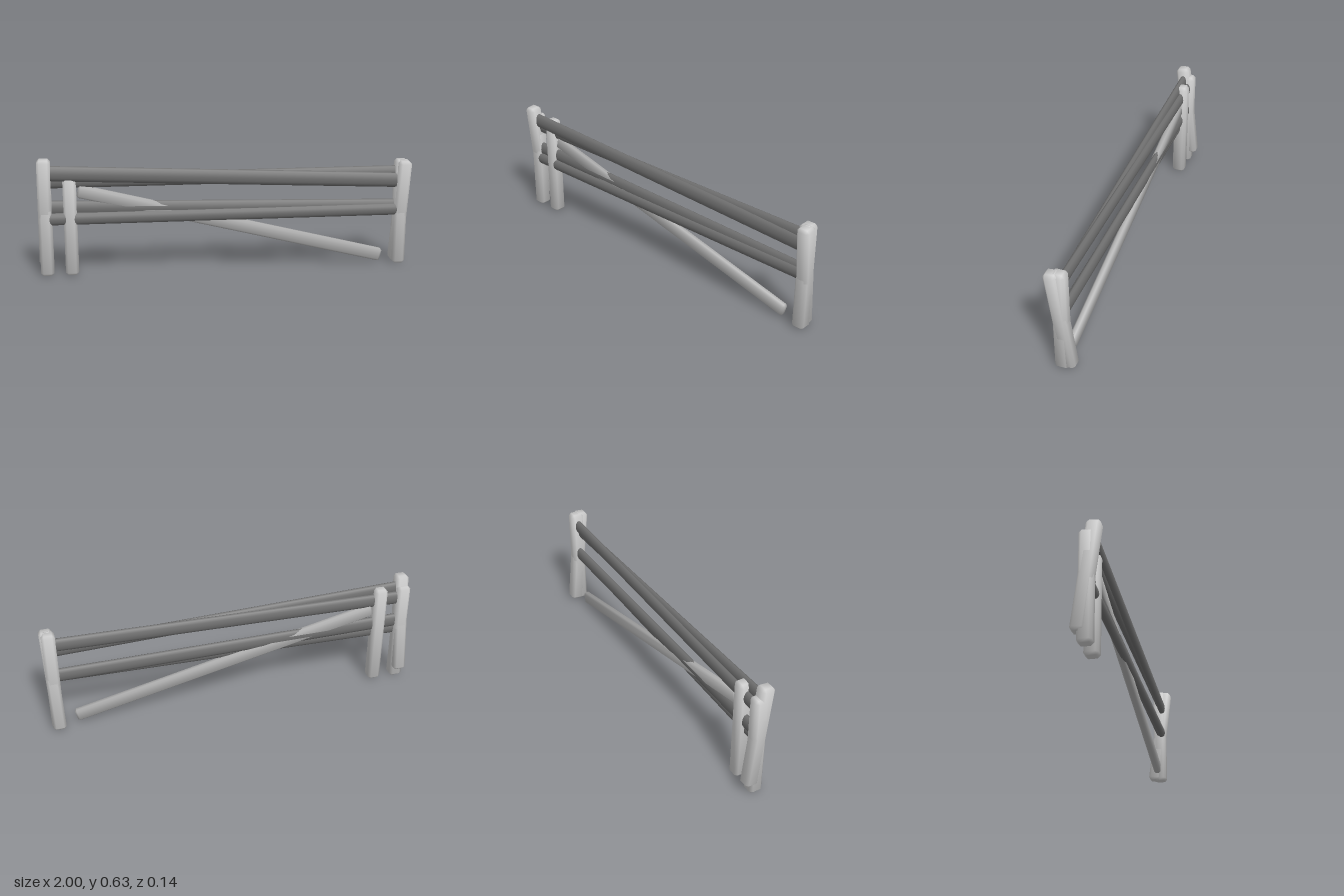
import * as THREE from 'three';
import { ConvexGeometry } from 'three/addons/geometries/ConvexGeometry.js';

const postMaterial = new THREE.MeshStandardMaterial({ color: 0xcccccc });
const braceMaterial = new THREE.MeshStandardMaterial({ color: 0xb0b0b0 });
const railMaterial = new THREE.MeshStandardMaterial({ color: 0x707070 });
const UP = new THREE.Vector3(0, 1, 0);

// Places a y-aligned geometry so that it runs from point a to point b
function beam(name, a, b, makeGeometry, material) {
  const start = new THREE.Vector3(...a);
  const end = new THREE.Vector3(...b);
  const mesh = new THREE.Mesh(makeGeometry(start.distanceTo(end)), material);
  mesh.name = name;
  mesh.position.copy(start).add(end).multiplyScalar(0.5);
  mesh.quaternion.setFromUnitVectors(UP, end.sub(start).normalize());
  return mesh;
}

// Square timber with every edge and corner cut off, shaded softly across its faces
const timber = (width, depth, bevel) => (length) => {
  const half = [width / 2, length / 2, depth / 2];
  const points = [];
  for (let axis = 0; axis < 3; axis++) {
    for (const sx of [-1, 1]) for (const sy of [-1, 1]) for (const sz of [-1, 1]) {
      const corner = [sx, sy, sz].map((s, i) => s * (half[i] - (i === axis ? 0 : bevel)));
      points.push(new THREE.Vector3(...corner));
    }
  }
  const geometry = new ConvexGeometry(points);

  // Each corner's normal is the average of the faces that meet there
  const { position, normal } = geometry.attributes;
  const n = new THREE.Vector3();
  for (let i = 0; i < position.count; i++) {
    const parts = half.map((h, axis) => {
      const p = position.getComponent(i, axis);
      return Math.sign(p) * (Math.abs(p) > h - bevel / 2 ? 2.57 : 1);
    });
    n.set(...parts).normalize();
    normal.setXYZ(i, n.x, n.y, n.z);
  }
  return geometry;
};

// Flattened round pole: tall in y, thin in z once laid along x
const pole = (height, depth) => (length) =>
  new THREE.CylinderGeometry(0.5, 0.5, length, 12).scale(height, 1, depth);

export function createModel() {
  const group = new THREE.Group();

  // Upright and leaning post crossing at each end, and one more upright near the right end
  const posts = [
    ['rightUprightPost', [-0.957, 0, 0], [-0.957, 0.58, 0]],
    ['rightLeaningPost', [-0.964, 0.058, -0.033], [-0.954, 0.63, 0.034]],
    ['leftUprightPost', [0.954, 0, 0], [0.954, 0.58, 0]],
    ['leftLeaningPost', [0.949, 0.005, -0.033], [0.964, 0.578, 0.034]],
    ['innerPost', [-0.827, 0, 0], [-0.827, 0.58, 0]],
  ];
  for (const [name, bottom, top] of posts) {
    group.add(beam(name, bottom, top, timber(0.069, 0.072, 0.014), postMaterial));
  }

  // Two crossing pairs of rails: [name, right y, left y, right z, left z, height]
  const rails = [
    ['upperFrontRail', 0.555, 0.468, 0.025, 0.016, 0.081],
    ['upperBackRail', 0.508, 0.508, 0, 0, 0.076],
    ['lowerFrontRail', 0.307, 0.306, 0.014, 0.014, 0.066],
    ['lowerBackRail', 0.366, 0.32, 0, 0, 0.078],
  ];
  for (const [name, y0, y1, z0, z1, height] of rails) {
    group.add(beam(name, [-0.955, y0, z0], [0.955, y1, z1], pole(height, 0.041), railMaterial));
  }

  // Fallen diagonal rail
  group.add(beam('diagonalBrace', [-0.785, 0.453, 0], [0.855, 0.045, 0], timber(0.07, 0.038, 0.01), braceMaterial));

  return group;
}
